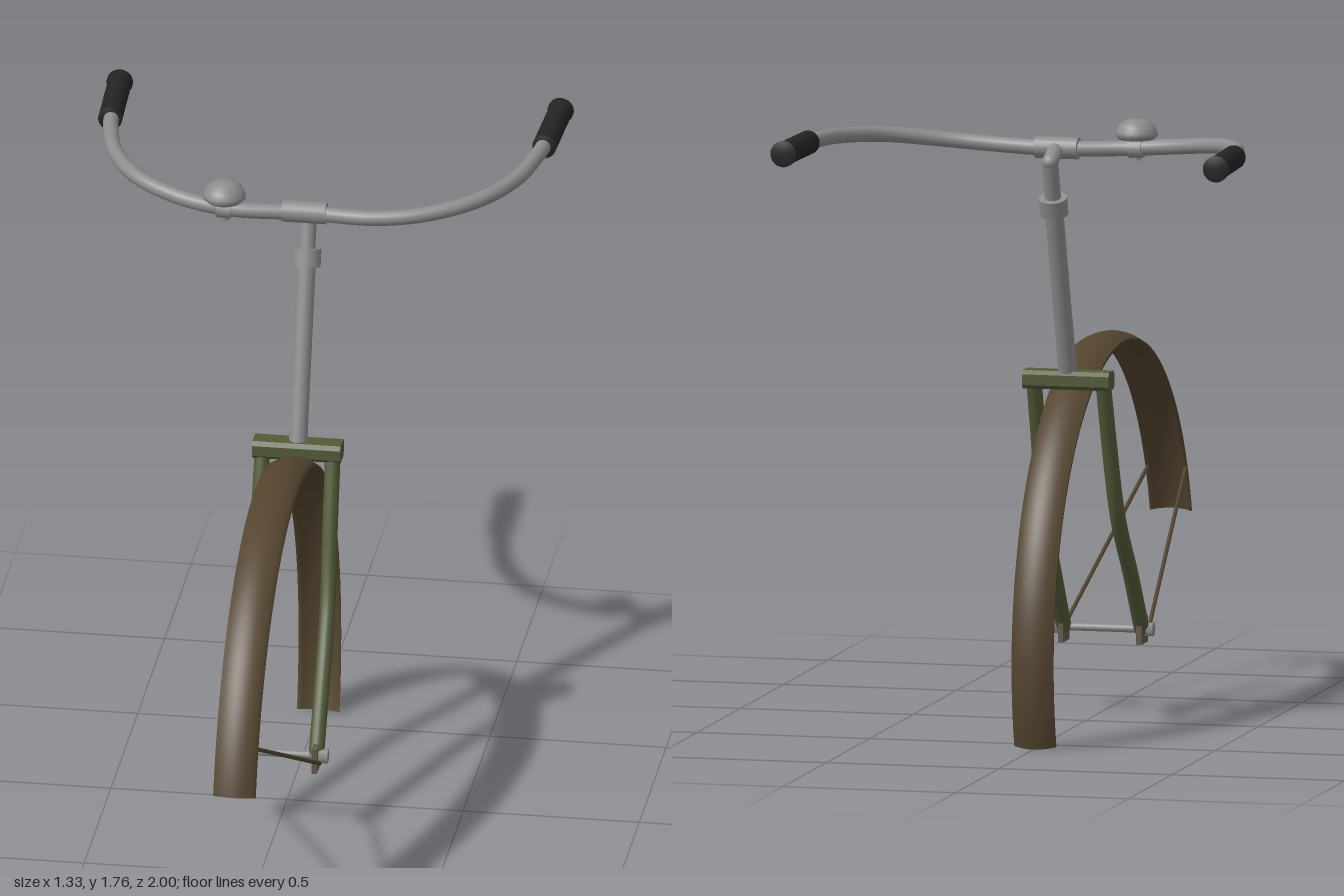
import * as THREE from 'three';

const V = (x, y, z) => new THREE.Vector3(x, y, z);
const mat = (name, color, side = THREE.FrontSide) => {
  const m = new THREE.MeshStandardMaterial({ color, side });
  m.name = name;
  return m;
};

export function createModel() {
  const group = new THREE.Group();
  const steel = mat('steel', 0x8c8c8c);
  const olive = mat('olive paint', 0x525a38);
  const brown = mat('brown fender paint', 0x54442f, THREE.DoubleSide);
  const rubber = mat('black rubber', 0x242424);
  const iron = mat('dull iron', 0x62584c);

  const add = (name, geometry, material, position) => {
    const mesh = new THREE.Mesh(geometry, material);
    mesh.name = name;
    if (position) mesh.position.copy(position);
    group.add(mesh);
    return mesh;
  };
  // Cylinder spanning two points
  const rod = (name, a, b, r, material, sides = 20, r2 = r) => {
    const d = b.clone().sub(a);
    const mesh = add(name, new THREE.CylinderGeometry(r2, r, d.length(), sides), material,
      a.clone().add(b).multiplyScalar(0.5));
    mesh.quaternion.setFromUnitVectors(V(0, 1, 0), d.normalize());
    return mesh;
  };
  const tube = (name, points, r, material, steps = 48) =>
    add(name, new THREE.TubeGeometry(new THREE.CatmullRomCurve3(points), steps, r, 16), material);

  const hub = V(0, 0.235, 0.2);

  // Fender: thin crowned section swept through half a turn about the hub
  const section = [];
  const arch = (t, r) => new THREE.Vector2(r - 0.02 * t * t, 0.06 * t);
  for (let i = 0; i <= 10; i++) section.push(arch(i / 5 - 1, 0.838));
  for (let i = 10; i >= 0; i--) section.push(arch(i / 5 - 1, 0.83));
  section.push(section[0].clone());
  const fender = new THREE.LatheGeometry(section, 96, -3.424, 3.138);
  fender.rotateZ(-Math.PI / 2);
  add('fender', fender, brown, hub);

  // Fork crown: chamfered bar across the fender
  const w = 0.036, h = 0.026, c = 0.011;
  const outline = new THREE.Shape([
    [w, h - c], [w - c, h], [c - w, h], [-w, h - c],
    [-w, c - h], [c - w, -h], [w - c, -h], [w, c - h],
  ].map(([x, y]) => new THREE.Vector2(x, y)));
  const crown = new THREE.ExtrudeGeometry(outline, { depth: 0.25, bevelEnabled: false });
  crown.translate(0, 0, -0.125).rotateY(Math.PI / 2);
  add('forkCrown', crown, olive, V(0, 0.996, -0.203));

  // Fork legs, dropouts, axle nuts and fender stays on both sides
  for (const s of [1, -1]) {
    const side = s > 0 ? 'left' : 'right';
    tube(side + 'ForkLeg', [
      V(s * 0.1, 1.0, -0.203), V(s * 0.102, 0.8, -0.135), V(s * 0.105, 0.66, -0.088),
      V(s * 0.107, 0.58, -0.052), V(s * 0.109, 0.5, 0.003), V(s * 0.111, 0.42, 0.066),
      V(s * 0.113, 0.235, 0.197),
    ], 0.022, olive);
    add(side + 'Dropout', new THREE.BoxGeometry(0.015, 0.075, 0.075), iron, V(s * 0.113, 0.235, 0.197));
    rod(side + 'AxleNut', V(s * 0.12, 0.238, 0.197), V(s * 0.147, 0.238, 0.197), 0.021, steel, 6);
    rod(side + 'FenderStay', V(s * 0.125, 0.22, 0.21), V(s * 0.055, 0.592, 0.928), 0.006, brown, 8);
  }
  rod('axle', V(-0.145, 0.238, 0.197), V(0.145, 0.238, 0.197), 0.011, steel);

  // Steerer, collar and stem
  const bend = V(0, 1.64, -0.413);
  rod('steerer', V(0, 1.0, -0.203), V(0, 1.51, -0.371), 0.026, steel);
  rod('steererCollar', V(0, 1.487, -0.364), V(0, 1.535, -0.38), 0.04, steel);
  rod('stemPost', V(0, 1.51, -0.371), bend, 0.023, steel);
  add('stemElbow', new THREE.SphereGeometry(0.024, 20, 12), steel, bend);
  rod('stemArm', bend, V(0, 1.67, -0.335), 0.023, steel);
  rod('stemClamp', V(-0.062, 1.67, -0.33), V(0.062, 1.67, -0.33), 0.031, steel);

  // Handlebar swept back to the grips
  const half = [
    [0.2, 1.673, -0.312], [0.34, 1.685, -0.333], [0.48, 1.703, -0.41],
    [0.565, 1.714, -0.535], [0.602, 1.72, -0.67], [0.615, 1.721, -0.77], [0.624, 1.721, -0.97],
  ];
  tube('handlebar', [
    ...half.map(([x, y, z]) => V(-x, y, z)).reverse(),
    V(0, 1.668, -0.33),
    ...half.map(([x, y, z]) => V(x, y, z)),
  ], 0.022, steel, 120);

  // Grips with fine ribs and an end flange
  const gripProfile = [new THREE.Vector2(0, 0), new THREE.Vector2(0.034, 0)];
  for (let i = 0; i < 10; i++) {
    gripProfile.push(new THREE.Vector2(0.034, 0.01 + i * 0.023), new THREE.Vector2(0.032, 0.022 + i * 0.023));
  }
  gripProfile.push(new THREE.Vector2(0.037, 0.24), new THREE.Vector2(0.037, 0.25), new THREE.Vector2(0, 0.25));
  for (const s of [1, -1]) {
    const grip = add(s > 0 ? 'leftGrip' : 'rightGrip', new THREE.LatheGeometry(gripProfile, 24), rubber,
      V(s * 0.616, 1.721, -0.748));
    grip.quaternion.setFromUnitVectors(V(0, 1, 0), V(s * 0.04, 0, -1).normalize());
  }

  // Bell: domed cap on a post, clamped to the bar
  const dome = [[0, 0], [0.05, 0], [0.06, 0.01], [0.059, 0.021], [0.051, 0.037],
    [0.036, 0.05], [0.018, 0.056], [0, 0.058]].map(([x, y]) => new THREE.Vector2(x, y));
  add('bellDome', new THREE.LatheGeometry(dome, 28), steel, V(-0.225, 1.7, -0.312));
  rod('bellPost', V(-0.225, 1.64, -0.312), V(-0.225, 1.705, -0.312), 0.012, steel, 12);
  rod('bellClamp', V(-0.245, 1.674, -0.314), V(-0.205, 1.672, -0.312), 0.027, steel);

  return group;
}
